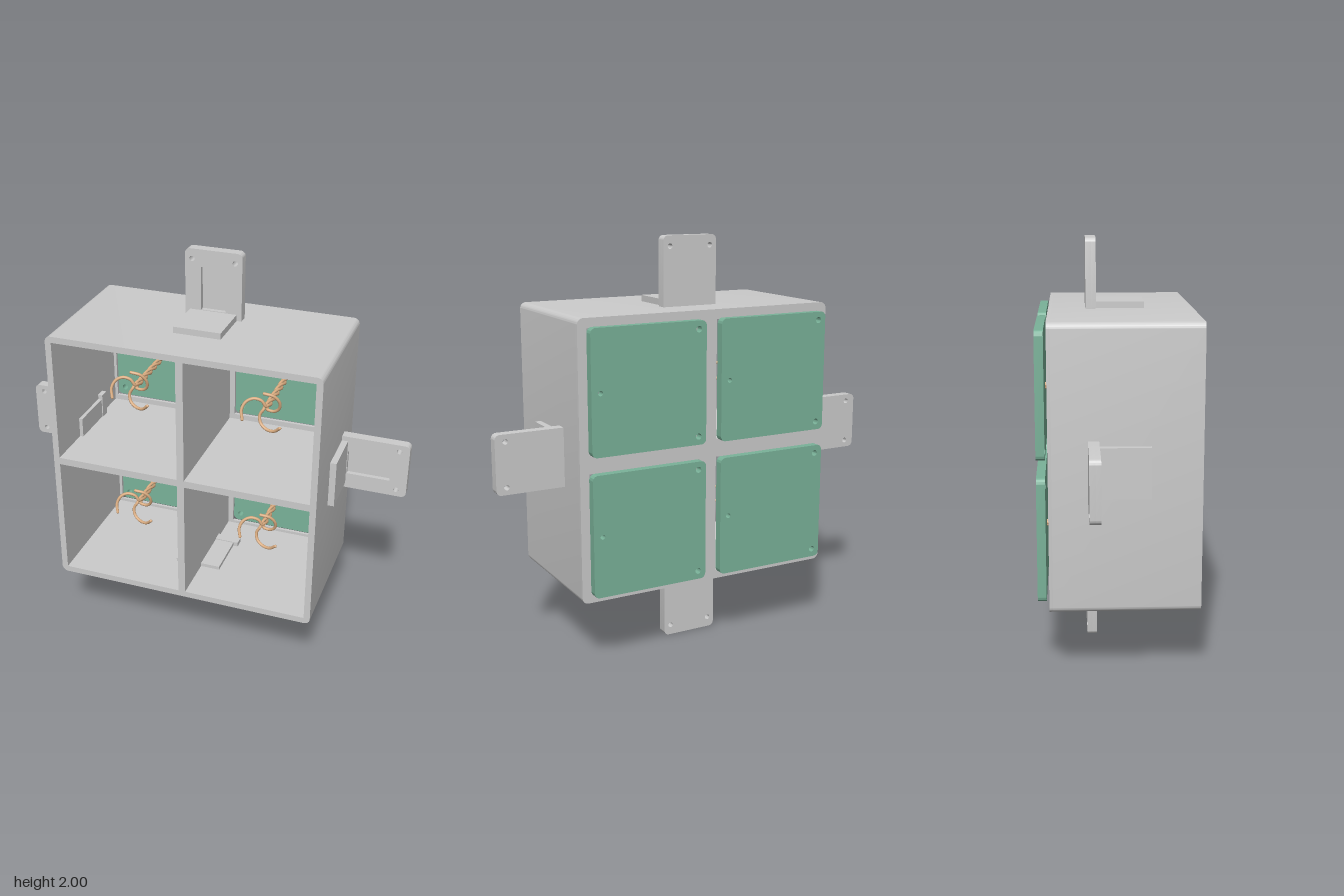
import * as THREE from 'three';
import { toCreasedNormals } from 'three/addons/utils/BufferGeometryUtils.js';

const grey = new THREE.MeshStandardMaterial({ color: 0xcccccc });
const green = new THREE.MeshStandardMaterial({ color: 0x7ab299 });
const copper = new THREE.MeshStandardMaterial({ color: 0xdcae82 });

// Rectangle centred on (cx, cy) with rounded corners
function roundRect(target, cx, cy, w, h, r) {
  const x = w / 2 - r, y = h / 2 - r;
  target.absarc(cx + x, cy + y, r, 0, Math.PI / 2);
  target.absarc(cx - x, cy + y, r, Math.PI / 2, Math.PI);
  target.absarc(cx - x, cy - y, r, Math.PI, Math.PI * 1.5);
  target.absarc(cx + x, cy - y, r, Math.PI * 1.5, Math.PI * 2);
  target.closePath();
  return target;
}

function rectHole(x0, x1, y0, y1) {
  return new THREE.Path([[x0, y0], [x0, y1], [x1, y1], [x1, y0]].map(p => new THREE.Vector2(...p)));
}

function roundHole(x, y, r) {
  const path = new THREE.Path();
  path.absarc(x, y, r, 0, Math.PI * 2, true);
  return path;
}

// Slab from z0 to z1
function slab(name, shape, z0, z1, material) {
  const geo = new THREE.ExtrudeGeometry(shape, { depth: z1 - z0, bevelEnabled: false, curveSegments: 8 });
  geo.translate(0, 0, z0);
  const mesh = new THREE.Mesh(toCreasedNormals(geo, 0.6), material);
  mesh.name = name;
  return mesh;
}

const SIGNS = [-1, 1];
const cells = SIGNS.flatMap(sx => SIGNS.map(sy => [sx, sy]));

// Housing layer with four square openings between the inner and outer distance
function housingLayer(name, inner, outer, z0, z1) {
  const shape = roundRect(new THREE.Shape(), 0, 0, 1.332, 1.332, 0.03);
  for (const [sx, sy] of cells) {
    const xs = [sx * inner, sx * outer].sort((a, b) => a - b);
    const ys = [sy * inner, sy * outer].sort((a, b) => a - b);
    shape.holes.push(rectHole(...xs, ...ys));
  }
  return slab(name, shape, z0, z1, grey);
}

// Mounting bracket pointing up: drilled plate with a pocket, plus a foot through the wall
function makeBracket() {
  const bracket = new THREE.Group();
  bracket.name = 'mountingBracket';
  const plate = () => {
    const s = new THREE.Shape();
    s.moveTo(-0.142, 0.612);
    s.lineTo(0.142, 0.612);
    s.absarc(0.117, 0.975, 0.025, 0, Math.PI / 2);
    s.absarc(-0.117, 0.975, 0.025, Math.PI / 2, Math.PI);
    s.closePath();
    for (const sx of SIGNS) s.holes.push(roundHole(sx * 0.107, 0.95, 0.013));
    return s;
  };
  const front = plate();
  front.holes.push(rectHole(-0.062, 0.062, 0.7, 0.915));
  bracket.add(slab('bracketPlateBack', plate(), -0.142, -0.115, grey));
  bracket.add(slab('bracketPlateFront', front, -0.115, -0.092, grey));
  const foot = new THREE.Mesh(new THREE.BoxGeometry(0.235, 0.08, 0.232), grey);
  foot.name = 'bracketFoot';
  foot.position.set(0, 0.657, 0.024);
  bracket.add(foot);
  return bracket;
}

// Three wires twisted into a stem, flaring out into swirling arms
function makeAntenna() {
  const antenna = new THREE.Group();
  antenna.name = 'antenna';
  const points = [];
  const turns = 2.5, steps = 40;
  for (let i = 0; i <= steps; i++) {
    const a = (i / steps - 1) * turns * Math.PI * 2 - 0.6;
    points.push(new THREE.Vector3(0.01 * Math.cos(a), 0.01 * Math.sin(a), -0.34 + 0.45 * i / steps));
  }
  const arm = [[0.045, -0.004, 0.118], [0.072, 0.022, 0.128], [0.074, 0.06, 0.14],
    [0.05, 0.093, 0.155], [0.008, 0.107, 0.17]];
  for (const p of arm) points.push(new THREE.Vector3(...p));
  const geo = new THREE.TubeGeometry(new THREE.CatmullRomCurve3(points), 130, 0.0075, 8);
  const tip = new THREE.SphereGeometry(0.0075, 8, 6);
  for (let i = 0; i < 3; i++) {
    const wire = new THREE.Mesh(geo, copper);
    wire.name = 'antennaWire';
    const end = new THREE.Mesh(tip, copper);
    end.name = 'wireTip';
    end.position.set(...arm[4]);
    wire.add(end);
    wire.rotation.z = i * Math.PI * 2 / 3;
    antenna.add(wire);
  }
  return antenna;
}

export function createModel() {
  const model = new THREE.Group();
  model.name = 'antennaArray';
  const body = new THREE.Group();
  body.name = 'body';
  body.position.y = 1;
  model.add(body);

  // Open housing with crossed dividers and a narrow lip around each rear opening
  body.add(housingLayer('housing', 0.018, 0.635, -0.305, 0.374));
  body.add(housingLayer('rearLip', 0.045, 0.62, -0.321, -0.305));

  // One back plate and antenna per cell
  for (const [sx, sy] of cells) {
    const shape = roundRect(new THREE.Shape(), 0, 0, 0.586, 0.586, 0.025);
    for (const s of SIGNS) shape.holes.push(roundHole(-0.253, s * 0.253, 0.015));
    shape.holes.push(roundHole(0.248, 0, 0.012));
    const cell = new THREE.Group();
    cell.name = 'antennaCell';
    cell.position.set(sx * 0.334, sy * 0.334, 0);
    cell.add(slab('backPlate', shape, -0.375, -0.334, green), makeAntenna());
    body.add(cell);
  }

  // A bracket on each of the four sides
  for (let i = 0; i < 4; i++) {
    const bracket = makeBracket();
    bracket.rotation.z = i * Math.PI / 2;
    body.add(bracket);
  }
  return model;
}
